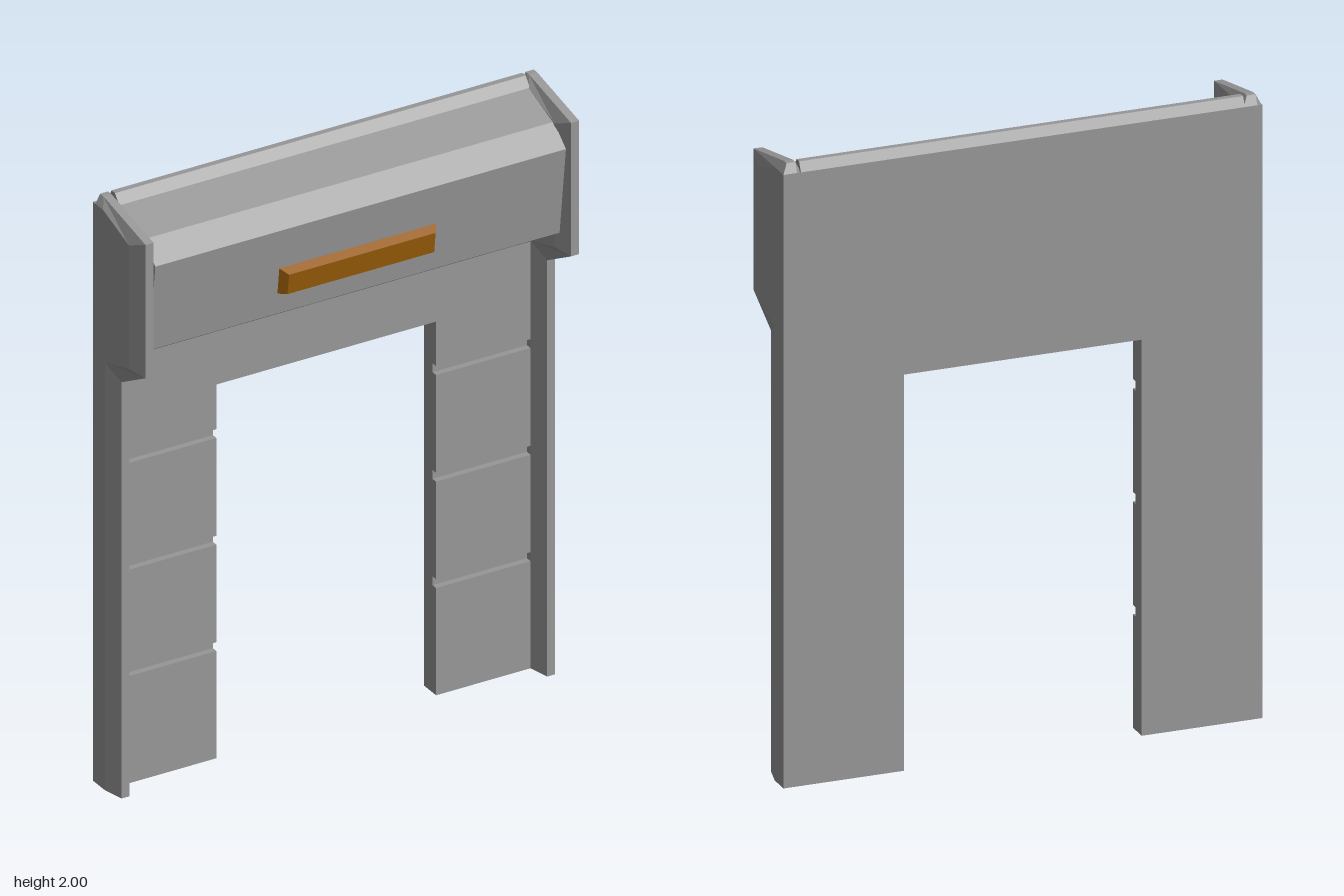
import * as THREE from 'three';

const grey = new THREE.MeshStandardMaterial({ color: 0x979797, flatShading: true });
const amber = new THREE.MeshStandardMaterial({ color: 0x985c08, flatShading: true });

// Skins a stack of matching [z, y] outlines (counter-clockwise) placed at rising x, with end caps.
function loft(sections) {
  const n = sections[0].outline.length;
  const positions = [];
  const index = [];
  for (const { x, outline } of sections) {
    for (const [z, y] of outline) positions.push(x, y, z);
  }
  for (let s = 0; s < sections.length - 1; s++) {
    for (let i = 0; i < n; i++) {
      const a = s * n + i, b = s * n + (i + 1) % n;
      index.push(a, a + n, b + n, a, b + n, b);
    }
  }
  const cap = (outline) => THREE.ShapeUtils.triangulateShape(
    outline.map(([z, y]) => new THREE.Vector2(z, y)), []);
  for (const [a, b, c] of cap(sections[0].outline)) index.push(a, b, c);
  const last = (sections.length - 1) * n;
  for (const [a, b, c] of cap(sections.at(-1).outline)) index.push(last + a, last + c, last + b);

  const indexed = new THREE.BufferGeometry();
  indexed.setAttribute('position', new THREE.Float32BufferAttribute(positions, 3));
  indexed.setIndex(index);
  const geometry = indexed.toNonIndexed();
  geometry.computeVertexNormals();
  return geometry;
}

const prism = (outline, x0, x1) => loft([{ x: x0, outline }, { x: x1, outline }]);

const rect = (w, h) => [[-w, -h], [w, -h], [w, h], [-w, h]];

export function createModel() {
  const group = new THREE.Group();
  const add = (name, geometry, material = grey) => {
    const mesh = new THREE.Mesh(geometry, material);
    mesh.name = name;
    group.add(mesh);
    return mesh;
  };

  const back = -0.14, wallFront = -0.07;
  const openingHalf = 0.382, openingTop = 1.272, wallHalf = 0.714;

  // Lintel wall and overhanging hood in one profile; the hood face leans back towards its foot
  add('hoodAndLintel', prism([
    [back, openingTop], [wallFront, openingTop], [wallFront, 1.453],
    [0.093, 1.558], [0.13, 1.86], [0.06, 1.92], [-0.08, 1.97],
    [-0.105, 2], [-0.125, 2], [back, 1.97],
  ], -wallHalf, wallHalf));

  // Wall legs with horizontal grooves across the front
  const leg = [[back, 0], [wallFront, 0]];
  for (const y of [0.365, 0.727, 1.09]) {
    const floor = wallFront - 0.021;
    leg.push([wallFront, y], [floor, y], [floor, y + 0.03], [wallFront, y + 0.03]);
  }
  leg.push([wallFront, openingTop], [back, openingTop]);
  add('leftLeg', prism(leg, openingHalf, wallHalf));
  add('rightLeg', prism(leg, -wallHalf, -openingHalf));

  // Side flanges: a wide body bevelled to a narrower rim on both faces
  const body = [
    [back, 0], [-0.07, 0], [-0.07, 1.455], [0.07, 1.5],
    [0.07, 1.92], [-0.08, 1.97], [-0.125, 1.97], [back, 1.97],
  ];
  const rim = [
    [back, 0], [0, 0], [0, 1.417], [0.14, 1.496],
    [0.14, 1.95], [-0.105, 2], [-0.125, 2], [back, 1.97],
  ];
  const flange = loft([
    { x: -0.03, outline: body }, { x: -0.014, outline: rim },
    { x: 0.014, outline: rim }, { x: 0.03, outline: body },
  ]);
  add('leftFlange', flange).position.x = 0.74;
  add('rightFlange', flange).position.x = -0.74;

  // Bevelled lamp panel, lofted outwards and tilted to lie on the leaning hood face
  const lamp = add('lampPanel', loft([
    { x: -0.01, outline: rect(0.273, 0.046) },
    { x: 0, outline: rect(0.273, 0.046) },
    { x: 0.029, outline: rect(0.255, 0.035) },
  ]), amber);
  lamp.position.set(0, 1.677, 0.107);
  lamp.rotation.set(Math.atan2(0.037, 0.302), -Math.PI / 2, 0);

  return group;
}
